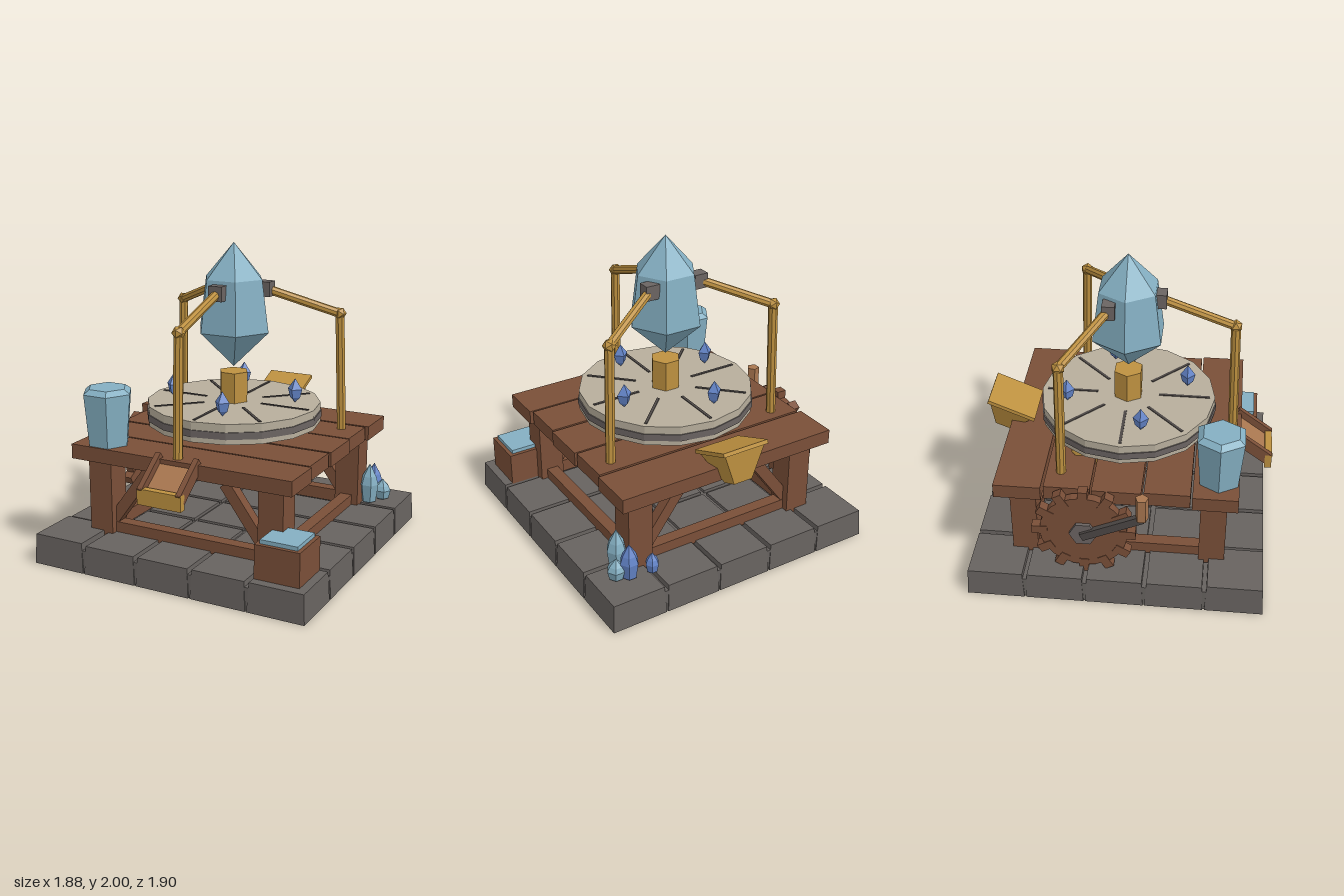
import * as THREE from 'three';

const mat = (name, color) => Object.assign(new THREE.MeshStandardMaterial({ color }), { name });

export function createModel() {
  const root = new THREE.Group();
  root.name = 'crystalGrindingTable';
  const stone = mat('stone', 0x67625f), wood = mat('wood', 0x7a4f38), tan = mat('lightWood', 0xa8764f);
  const pale = mat('paleStone', 0xb7ae9c), brass = mat('brass', 0xbe9140), metal = mat('darkMetal', 0x4c4745);
  const grey = mat('greyMetal', 0x6b6462), teal = mat('paleCrystal', 0x84afc2), blue = mat('blueCrystal', 0x6384c8);

  // Adds a faceted mesh
  const add = (name, geo, m, x = 0, y = 0, z = 0, parent = root) => {
    const g = geo.index ? geo.toNonIndexed() : geo;
    g.computeVertexNormals();
    const mesh = new THREE.Mesh(g, m);
    mesh.name = name;
    mesh.position.set(x, y, z);
    parent.add(mesh);
    return mesh;
  };
  const box = (w, h, d) => new THREE.BoxGeometry(w, h, d);
  // Box whose bottom face has its own size
  const taperBox = (w, h, d, bw, bd) => {
    const g = box(w, h, d), p = g.attributes.position;
    for (let i = 0; i < p.count; i++)
      if (p.getY(i) < 0) p.setXYZ(i, p.getX(i) * bw / w, p.getY(i), p.getZ(i) * bd / d);
    return g;
  };
  const prism = (rt, rb, h, n) => new THREE.CylinderGeometry(rt, rb, h, n, 1, false, Math.PI / 2);
  // Turned faceted solid from [radius, height] pairs, bottom to top
  const facet = (pts, n) =>
    new THREE.LatheGeometry(pts.map(p => new THREE.Vector2(...p)), n, Math.PI / 2);
  const rod = (name, a, b, r, m, n = 8) => {
    const va = new THREE.Vector3(...a), d = new THREE.Vector3(...b).sub(va);
    const mesh = add(name, prism(r, r, d.length(), n), m);
    mesh.position.copy(va).addScaledVector(d, 0.5);
    mesh.quaternion.setFromUnitVectors(new THREE.Vector3(0, 1, 0), d.normalize());
    return mesh;
  };
  // Toothed wheel with its axle along x
  const gear = (name, r, thick, teeth, toothLen, toothW, m, x, y, z) => {
    const g = new THREE.Group();
    g.name = name;
    g.position.set(x, y, z);
    root.add(g);
    add(name + 'Disc', new THREE.CylinderGeometry(r, r, thick, teeth * 2).rotateZ(Math.PI / 2), m, 0, 0, 0, g);
    for (let i = 0; i < teeth; i++) {
      const a = i * 2 * Math.PI / teeth;
      const t = add(name + 'Tooth', box(thick * 1.15, toothW, toothLen * 2), m,
        0, Math.sin(a) * r, Math.cos(a) * r, g);
      t.rotation.x = -a;
    }
    return g;
  };

  // Paved base: tapered blocks over a slab
  add('baseSlab', box(1.86, 0.15, 1.86), stone, 0, 0.075, 0);
  const cell = 0.378;
  for (let i = -2; i <= 2; i++) for (let j = -2; j <= 2; j++) {
    const edge = Math.abs(i) === 2 || Math.abs(j) === 2;
    const h = !edge ? 0.17 : i === -2 && j === 2 ? 0.197 : 0.185;
    add('pavingBlock', taperBox(0.347, h, 0.347, 0.367, 0.367), stone, i * cell, h / 2, j * cell);
  }

  // Table legs, low beams and braces
  for (const s of [-1, 1]) {
    for (const t of [-1, 1]) {
      add('tableLeg', box(0.165, 0.52, 0.165), wood, s * 0.598, 0.42, t * 0.598);
      add('brace', box(0.47, 0.075, 0.07), wood, s * 0.405, 0.445, t * 0.598).rotation.z = -s * 0.937;
    }
    add('sideBeam', box(0.08, 0.085, 1.05), wood, s * 0.598, 0.212, 0);
    add('crossBeam', box(1.05, 0.085, 0.08), wood, 0, 0.212, s * 0.598);
  }

  // Deck planks: z centre, depth, length
  for (const [z, d, w] of [[-0.615, 0.295, 1.525], [-0.308, 0.287, 1.49], [0, 0.305, 1.51],
    [0.31, 0.285, 1.49], [0.605, 0.282, 1.525]])
    add('deckPlank', box(w, 0.095, d), wood, 0, 0.722, z);

  // Round grinding stone with a band, spokes and hub
  add('grindstone', prism(0.565, 0.565, 0.13, 16), pale, 0, 0.907, 0);
  add('grindstoneBand', prism(0.572, 0.572, 0.045, 16), grey, 0, 0.898, 0);
  for (let i = 0; i < 8; i++) {
    const a = i * Math.PI / 4;
    add('groove', box(0.33, 0.008, 0.018), metal, Math.cos(a) * 0.365, 0.973, Math.sin(a) * 0.365).rotation.y = -a;
  }
  add('hub', prism(0.098, 0.098, 0.2, 6), brass, 0, 1.07, 0);

  // Small crystals standing on the stone
  const shard = [[0, 0], [0.036, 0.035], [0.05, 0.09], [0, 0.16]];
  for (const [x, z] of [[-0.12, -0.385], [0.38, -0.125], [-0.383, 0.115], [0.118, 0.378]])
    add('smallCrystal', facet(shard, 4), blue, x, 0.974, z);

  // Great hanging crystal
  add('greatCrystal', facet([[0, 1.2], [0.247, 1.44], [0.2, 1.775], [0, 2]], 6), teal);

  // Three bent arms holding it
  const arms = [
    { foot: [-0.02, 0.76, 0.69], bend: [-0.017, 1.54, 0.668], tip: [-0.007, 1.705, 0.2], turn: 0 },
    { foot: [-0.592, 0.76, -0.362], bend: [-0.575, 1.54, -0.355], tip: [-0.174, 1.705, -0.102], turn: 0 },
    { foot: [0.615, 0.76, -0.355], bend: [0.592, 1.54, -0.335], tip: [0.174, 1.705, -0.102], turn: 0 }
  ];
  for (const { foot, bend, tip } of arms) {
    rod('armPost', foot, bend, 0.031, brass);
    rod('armReach', bend, tip, 0.029, brass);
    add('armJoint', new THREE.IcosahedronGeometry(0.043, 0), brass, ...bend);
    add('armBracket', box(0.093, 0.095, 0.08), grey, ...tip);
  }

  // Crystal vat on the deck
  add('crystalVat', facet([[0, 0.77], [0.135, 0.77], [0.165, 1.105], [0.125, 1.135], [0, 1.135]], 6),
    teal, -0.565, 0, 0.62);

  // Water crate at the front corner
  add('crate', box(0.29, 0.22, 0.29), wood, 0.73, 0.29, 0.725);
  add('crateWater', box(0.24, 0.03, 0.24), teal, 0.73, 0.41, 0.725);

  // Crystal cluster at the back corner
  const cluster = [[0.73, -0.61, 0.065, 0.285, teal], [0.79, -0.71, 0.06, 0.155, teal],
    [0.715, -0.74, 0.062, 0.25, blue], [0.57, -0.765, 0.045, 0.15, blue]];
  for (const [x, z, r, h, m] of cluster)
    add('clusterCrystal', facet([[0, 0], [r * 0.75, 0.02], [r, h * 0.5], [r * 0.75, h * 0.7], [0, h]], 6),
      m, x, 0.18, z);

  // Drive wheel with axle and crank, and the brass gear it turns
  gear('driveWheel', 0.275, 0.055, 12, 0.05, 0.06, wood, -0.785, 0.475, -0.2);
  add('wheelAxle', new THREE.CylinderGeometry(0.088, 0.088, 0.105, 6).rotateZ(Math.PI / 2), grey, -0.782, 0.475, -0.2);
  const crank = add('crankArm', box(0.035, 0.055, 0.42), metal, -0.835, 0.555, -0.02);
  crank.rotation.x = -0.44;
  add('crankHandle', prism(0.042, 0.042, 0.165, 5), tan, -0.832, 0.72, 0.165);
  gear('brassGear', 0.118, 0.05, 8, 0.027, 0.05, brass, -0.4, 0.715, -0.2);

  // Front chute with side rails and a catch lip
  const chute = new THREE.Group();
  chute.name = 'chute';
  chute.position.set(0, 0.69, 0.822);
  chute.rotation.x = 0.64;
  root.add(chute);
  for (const s of [-1, 1]) add('chuteRail', box(0.036, 0.08, 0.28), wood, s * 0.132, 0, 0, chute);
  add('chuteFloor', box(0.235, 0.02, 0.27), tan, 0, -0.015, 0, chute);
  add('chuteLip', box(0.3, 0.1, 0.045), brass, 0, 0.592, 0.932);

  // Back feed hopper
  const hopper = new THREE.Group();
  hopper.name = 'hopper';
  hopper.position.set(0, 0.885, -0.752);
  hopper.rotation.x = 0.395;
  root.add(hopper);
  add('hopperRim', box(0.32, 0.025, 0.325), brass, 0, 0, 0, hopper);
  add('hopperBody', taperBox(0.29, 0.21, 0.3, 0.13, 0.11), brass, 0, -0.11, 0, hopper);

  return root;
}
